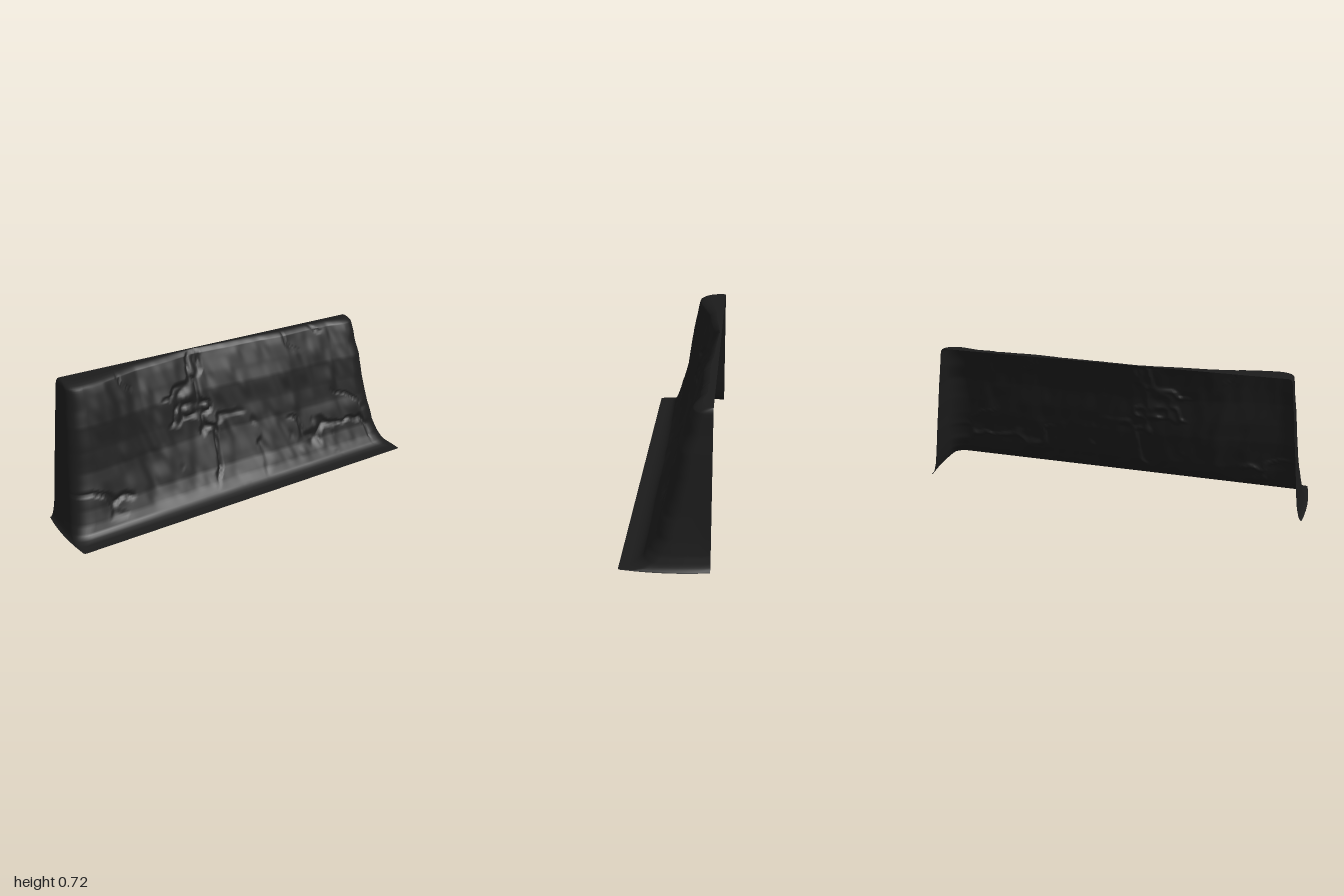
import * as THREE from 'three';

const BACK = -0.2;

// Height, front z, half width, corner depth, how far the lip offset applies
const PROFILE = [
  [0.000, 0.200, 0.985, 0.01, 0.00],
  [0.003, 0.150, 0.979, 0.03, 0.00],
  [0.010, 0.125, 0.973, 0.05, 0.00],
  [0.025, 0.104, 0.967, 0.06, 0.06],
  [0.065, 0.085, 0.957, 0.07, 0.16],
  [0.130, 0.062, 0.948, 0.07, 0.30],
  [0.300, 0.018, 0.930, 0.07, 0.52],
  [0.400, 0.002, 0.918, 0.07, 0.64],
  [0.520, -0.013, 0.905, 0.06, 0.78],
  [0.600, -0.031, 0.894, 0.06, 0.88],
  [0.690, -0.053, 0.884, 0.05, 1.00],
  [0.701, -0.057, 0.882, 0.05, 1.00],
  [0.710, -0.074, 0.879, 0.05, 0.92],
  [0.717, -0.095, 0.874, 0.05, 0.78],
  [0.720, -0.115, 0.868, 0.05, 0.65],
];

// Setback of the upper edge along the length
const LIP = [[-1, 0], [-0.82, 0], [-0.7, -0.02], [-0.5, -0.07], [-0.3, -0.095],
  [-0.1, -0.112], [0.15, -0.1], [0.4, -0.08], [0.55, -0.085], [0.7, -0.08], [0.85, -0.052], [1, -0.045]];

function lookup(table, x) {
  let i = 0;
  while (i < table.length - 2 && x > table[i + 1][0]) i++;
  const t = THREE.MathUtils.clamp((x - table[i][0]) / (table[i + 1][0] - table[i][0]), 0, 1);
  return THREE.MathUtils.lerp(table[i][1], table[i + 1][1], t);
}

// Smooth value noise on a seeded lattice, in -1..1
function hash(i, j) {
  const s = Math.sin(i * 127.1 + j * 311.7) * 43758.5453;
  return (s - Math.floor(s)) * 2 - 1;
}
function noise(x, y) {
  const i = Math.floor(x), j = Math.floor(y);
  const u = THREE.MathUtils.smoothstep(x - i, 0, 1), v = THREE.MathUtils.smoothstep(y - j, 0, 1);
  const lerp = THREE.MathUtils.lerp;
  return lerp(lerp(hash(i, j), hash(i + 1, j), u), lerp(hash(i, j + 1), hash(i + 1, j + 1), u), v);
}

// Rock relief: slanting ribs, small lumps and thin cracks
function relief(x, y) {
  const s = x + y * 0.3;
  const ribs = noise(s * 9, y * 3) * 0.009;
  const lumps = noise(s * 24 + 5, y * 12) * 0.004;
  const line = Math.abs(noise(x * 4 + 40, (y + x * 0.35) * 6) + noise(x * 16, y * 16) * 0.3);
  const patch = THREE.MathUtils.smoothstep(noise(x * 4 + 9, y * 4 + 3), -0.1, 0.3);
  const crack = -0.014 * patch * Math.max(0, 1 - line / 0.12);
  const fade = THREE.MathUtils.smoothstep(y, 0.01, 0.1) * (1 - 0.5 * THREE.MathUtils.smoothstep(y, 0.66, 0.72))
    * (1 - THREE.MathUtils.smoothstep(Math.abs(x), 0.8, 0.93));
  return (ribs + lumps + crack) * fade;
}

// One level of the shell: left side, corner, front, corner, right side
function levelPoints([y, front, half, depth, lipWeight]) {
  const SIDE = 6, ARC = 8, FRONT = 180;
  const width = depth * 1.3; // corners are wider than deep
  const frontAt = x => Math.max(front + lookup(LIP, x) * lipWeight + relief(x, y), BACK + 0.01);
  const shift = -0.012 * y;
  const corner = sign => {
    const z = frontAt(sign * (half - width));
    const r = Math.min(depth, z - BACK);
    const pts = [];
    for (let i = 0; i < SIDE; i++) pts.push([sign * half, THREE.MathUtils.lerp(BACK, z - r, i / SIDE)]);
    for (let i = 0; i <= ARC; i++) {
      const a = (i / ARC) * Math.PI / 2;
      pts.push([sign * (half - width + width * Math.cos(a)), z - r + r * Math.sin(a)]);
    }
    return pts;
  };
  const pts = corner(-1);
  for (let i = 1; i < FRONT; i++) {
    const x = (half - width) * (2 * i / FRONT - 1);
    pts.push([x, frontAt(x)]);
  }
  pts.push(...corner(1).reverse());
  // Ends bow out slightly in plan near the ground
  return pts.map(([x, z]) => [x + Math.sign(x) * 0.015 * (1 - (z / 0.2) ** 2) * Math.max(0, 1 - y * 4) + shift, y, z]);
}

// Skin rows of points with equal counts into a smooth sheet
function sheet(rows) {
  const n = rows[0].length, index = [];
  for (let r = 0; r < rows.length - 1; r++) {
    for (let c = 0; c < n - 1; c++) {
      const a = r * n + c, b = a + n;
      index.push(a, a + 1, b + 1, a, b + 1, b);
    }
  }
  const geo = new THREE.BufferGeometry();
  geo.setAttribute('position', new THREE.Float32BufferAttribute(rows.flat(2), 3));
  geo.setIndex(index);
  geo.computeVertexNormals();
  return geo;
}

export function createModel() {
  const group = new THREE.Group();
  group.name = 'cliffWall';
  const material = new THREE.MeshStandardMaterial({ color: 0x1c1c1c, side: THREE.DoubleSide });

  // Rock face with flared foot and side returns, open at the back
  const rows = [];
  for (let k = 0; k < PROFILE.length - 1; k++) {
    const p = PROFILE[k], q = PROFILE[k + 1];
    const steps = Math.max(1, Math.ceil((q[0] - p[0]) / 0.01));
    for (let s = 0; s < steps; s++) rows.push(levelPoints(p.map((v, i) => THREE.MathUtils.lerp(v, q[i], s / steps))));
  }
  const rim = levelPoints(PROFILE[PROFILE.length - 1]);
  rows.push(rim);
  const face = new THREE.Mesh(sheet(rows), material);
  face.name = 'rockFace';

  // Flat ledge from the upper edge to the back
  const ledge = new THREE.Mesh(sheet([rim, rim.map(([x, y]) => [x, y, BACK])]), material);
  ledge.name = 'topLedge';

  group.add(face, ledge);
  return group;
}
